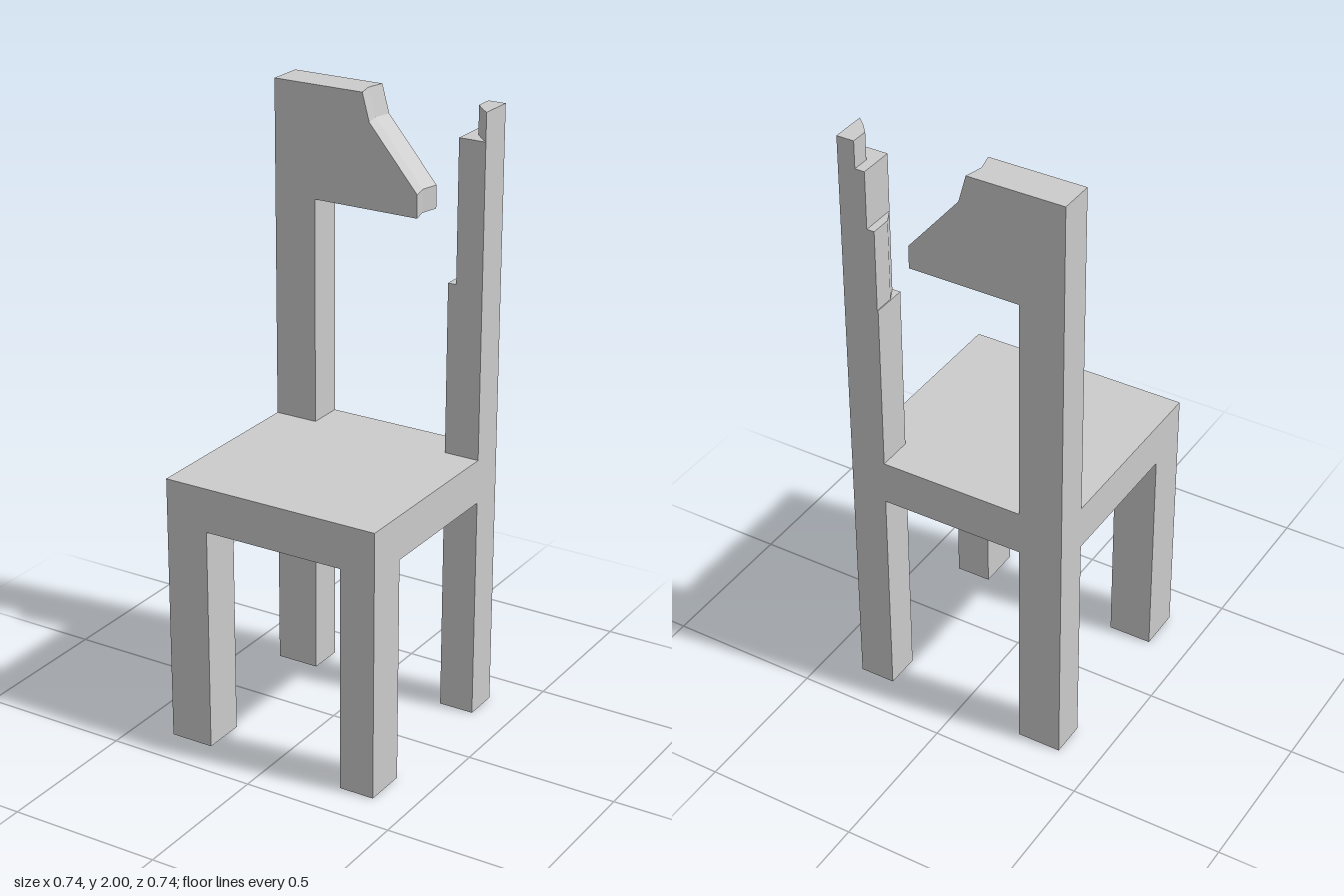
import * as THREE from 'three';

const H = 0.37;                                 // half the footprint
const SEAT_BOTTOM = 0.745, SEAT_TOP = 0.89;
const RIGHT = -0.225, LEFT = 0.252;             // inner faces of the side legs
const FRONT = 0.225, BACK = -0.252;             // inner faces of the front and back legs

const material = new THREE.MeshStandardMaterial({ color: 0xcccccc, flatShading: true });

export function createModel() {
  const model = new THREE.Group();

  const add = (name, geometry, parent = model) => {
    const mesh = new THREE.Mesh(geometry, material);
    mesh.name = name;
    parent.add(mesh);
    return mesh;
  };

  // Box given by its limits on each axis
  const block = (name, [x0, x1], [y0, y1], [z0, z1]) =>
    add(name, new THREE.BoxGeometry(x1 - x0, y1 - y0, z1 - z0)
      .translate((x0 + x1) / 2, (y0 + y1) / 2, (z0 + z1) / 2));

  const outline = (points) => new THREE.Shape(points.map(([x, y]) => new THREE.Vector2(x, y)));

  // Seat slab
  block('seat', [-H, H], [SEAT_BOTTOM, SEAT_TOP], [-H, H]);

  // Four legs
  const sides = { Right: [-H, RIGHT], Left: [LEFT, H] };
  const ends = { front: [FRONT, H], back: [-H, BACK] };
  for (const [side, x] of Object.entries(sides))
    for (const [end, z] of Object.entries(ends))
      block(`${end}${side}Leg`, x, [0, SEAT_BOTTOM], z);

  // Right back post with the surviving piece of the top rail
  const rail = new THREE.ExtrudeGeometry(outline([
    [-H, SEAT_TOP], [RIGHT, SEAT_TOP], [RIGHT, 1.635], [0.14, 1.635],
    [0.14, 1.71], [-0.03, 1.91], [-0.055, 2], [-H, 2],
  ]), { depth: BACK + H, steps: 2, bevelEnabled: false }).translate(0, 0, -H);
  // Hollow the broken end slightly along its middle
  const p = rail.attributes.position;
  const middle = (BACK - H) / 2;
  for (let i = 0; i < p.count; i++) {
    if (Math.abs(p.getZ(i) - middle) < 0.01 && p.getX(i) > -0.1) p.setX(i, p.getX(i) - 0.014);
  }
  rail.computeVertexNormals();
  add('backPostWithBrokenRail', rail);

  // Left back post, splintering away in steps; outlines are [x, -z]
  const post = new THREE.Group();
  post.name = 'brokenBackPost';
  model.add(post);
  const b = -BACK;
  const steps = [
    [SEAT_TOP, 1.45, [[LEFT, b], [H, b], [H, H], [LEFT, H]]],
    [1.45, 1.72, [[0.28, b], [H, b], [H, H], [0.255, H], [0.255, 0.3]]],
    [1.72, 1.91, [[0.28, b], [H, b], [H, H], [0.28, H]]],
    [1.91, 2, [[0.312, 0.312], [0.34, 0.28], [H, b], [H, H], [0.312, H]]],
  ];
  steps.forEach(([y0, y1, points], i) => {
    const geometry = new THREE.ExtrudeGeometry(outline(points), { depth: y1 - y0, bevelEnabled: false });
    add(`postSection${i + 1}`, geometry.rotateX(-Math.PI / 2).translate(0, y0, 0), post);
  });

  return model;
}
